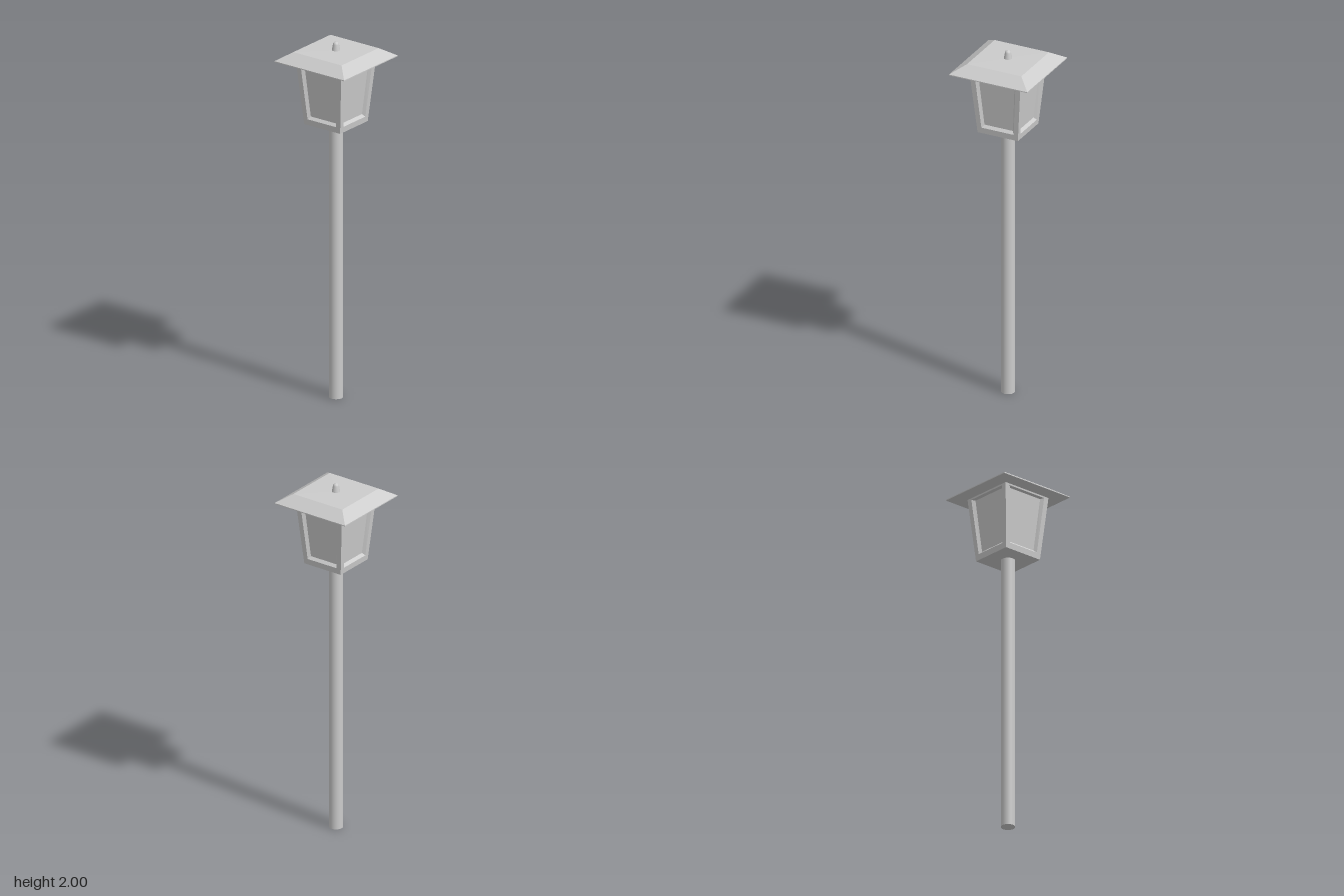
import * as THREE from 'three';

const smooth = new THREE.MeshStandardMaterial({ color: 0xcccccc });
const flat = new THREE.MeshStandardMaterial({ color: 0xcccccc, flatShading: true });

const BASE_Y = 1.545, TOP_Y = 1.905, BASE_HALF = 0.119, TOP_HALF = 0.151;

// Half width of the tapered lantern body at height y
const halfAt = (y) => THREE.MathUtils.mapLinear(y, BASE_Y, TOP_Y, BASE_HALF, TOP_HALF);

function add(parent, name, geometry, material) {
  const mesh = new THREE.Mesh(geometry, material);
  mesh.name = name;
  parent.add(mesh);
  return mesh;
}

// Square solid from a profile of [half width, y] points
function squareLathe(points) {
  const profile = points.map(([half, y]) => new THREE.Vector2(half * Math.SQRT2, y));
  return new THREE.LatheGeometry(profile, 4, Math.PI / 4);
}

// One lantern side facing +z: frame border, bevelled reveal and recessed pane
function sideGeometry() {
  // Four corners of a ring: bottom left, bottom right, top right, top left
  const ring = (yBottom, yTop, wBottom, wTop, depth) => [
    [-wBottom, yBottom, halfAt(yBottom) - depth],
    [wBottom, yBottom, halfAt(yBottom) - depth],
    [wTop, yTop, halfAt(yTop) - depth],
    [-wTop, yTop, halfAt(yTop) - depth],
  ];
  const rings = [
    ring(BASE_Y, TOP_Y, BASE_HALF, TOP_HALF, 0),
    ring(1.578, 1.893, 0.095, 0.121, 0),
    ring(1.592, 1.888, 0.084, 0.107, 0.016),
  ];
  const positions = [];
  const quad = (a, b, c, d) => positions.push(...a, ...b, ...c, ...a, ...c, ...d);
  for (let r = 0; r < 2; r++) {
    for (let i = 0; i < 4; i++) {
      const j = (i + 1) % 4;
      quad(rings[r][i], rings[r][j], rings[r + 1][j], rings[r + 1][i]);
    }
  }
  quad(...rings[2]);
  const geometry = new THREE.BufferGeometry();
  geometry.setAttribute('position', new THREE.Float32BufferAttribute(positions, 3));
  geometry.computeVertexNormals();
  return geometry;
}

export function createModel() {
  const model = new THREE.Group();
  model.name = 'gardenLamp';

  // Round post
  const post = add(model, 'post', new THREE.CylinderGeometry(0.038, 0.038, BASE_Y, 32), smooth);
  post.position.y = BASE_Y / 2;

  // Tapered lantern with four identical sides and a closed floor
  const lantern = new THREE.Group();
  lantern.name = 'lantern';
  model.add(lantern);
  const side = sideGeometry();
  for (let i = 0; i < 4; i++) {
    add(lantern, 'lanternSide', side, flat).rotation.y = (i * Math.PI) / 2;
  }
  add(lantern, 'lanternFloor', squareLathe([[0, BASE_Y], [BASE_HALF, BASE_Y]]), flat);

  // Overhanging hipped roof with a flat top
  add(model, 'roof', squareLathe([
    [0, 1.902], [0.231, 1.902], [0.231, 1.907], [0.16, 1.953], [0, 1.954],
  ]), flat);

  // Tapered finial with a rounded tip
  const finial = [[0.023, 1.95], [0.016, 1.986], [0.014, 1.993], [0.009, 1.998], [0, 2]];
  add(model, 'finial', new THREE.LatheGeometry(
    finial.map(([r, y]) => new THREE.Vector2(r, y)), 24), smooth);

  return model;
}
